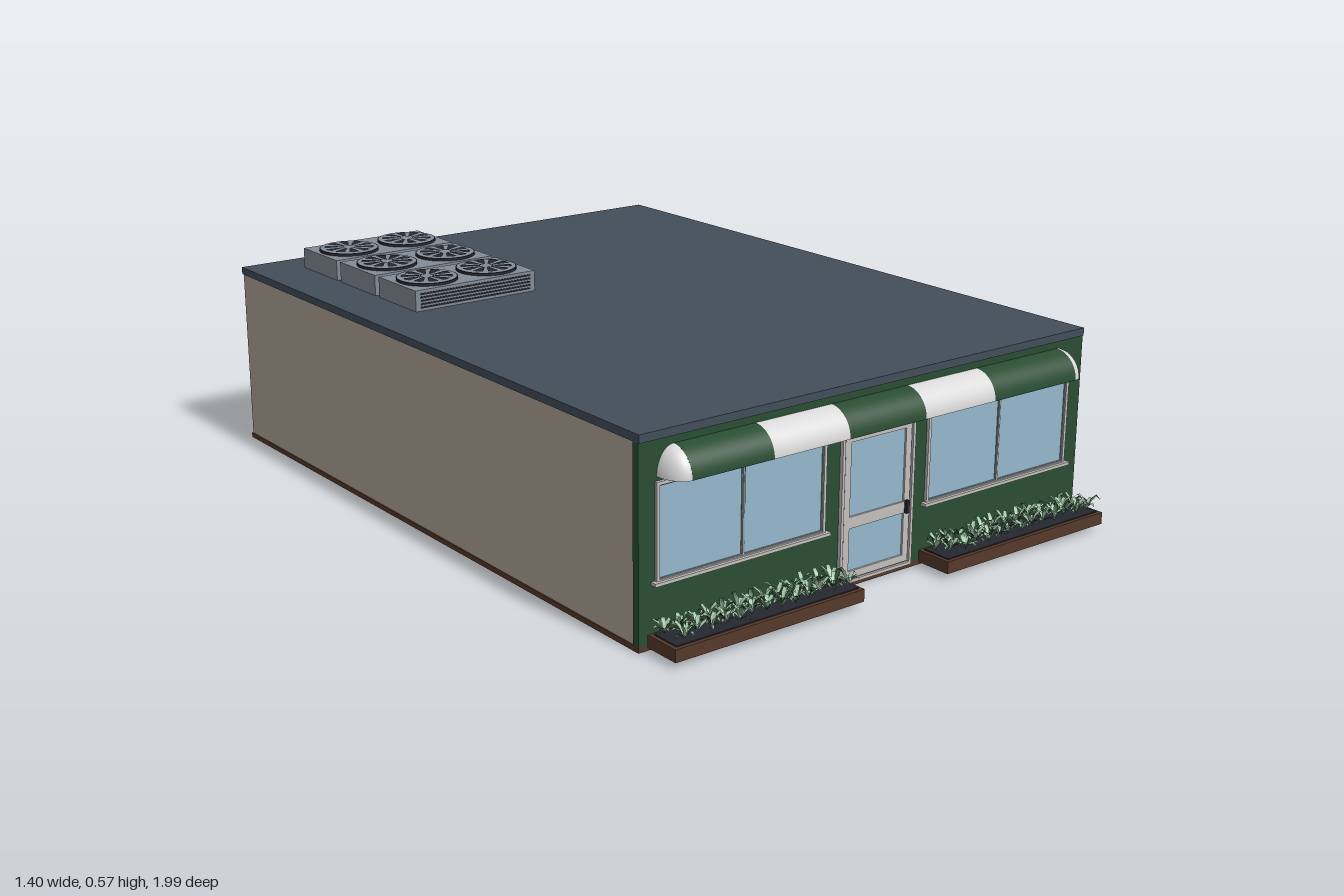
import * as THREE from 'three';
import { mergeGeometries } from 'three/addons/utils/BufferGeometryUtils.js';

const mat = (name, color, side = THREE.FrontSide) => {
  const m = new THREE.MeshStandardMaterial({ color, side });
  m.name = name;
  return m;
};

export function createModel() {
  const roofSlate = mat('roofSlate', 0x424e5a);
  const wallBeige = mat('wallBeige', 0xb0a599);
  const shopGreen = mat('shopGreen', 0x2a4d33, THREE.DoubleSide);
  const awningWhite = mat('awningWhite', 0xdadada, THREE.DoubleSide);
  const glassBlue = mat('glassBlue', 0x94b8cc);
  const frameGrey = mat('frameGrey', 0xc2bfbc);
  const metalGrey = mat('metalGrey', 0x818c97);
  const darkGrey = mat('darkGrey', 0x24272f);
  const woodBrown = mat('woodBrown', 0x56392a);
  const leafGreen = mat('leafGreen', 0x9cc3a1, THREE.DoubleSide);

  const root = new THREE.Group();
  root.name = 'shop';
  const group = (name, parent = root) => {
    const g = new THREE.Group();
    g.name = name;
    parent.add(g);
    return g;
  };
  const mesh = (parent, name, geo, material, x = 0, y = 0, z = 0) => {
    const m = new THREE.Mesh(geo, material);
    m.name = name;
    m.position.set(x, y, z);
    parent.add(m);
    return m;
  };
  // Box given by its minimum and maximum on each axis
  const box = (parent, name, material, [x0, x1], [y0, y1], [z0, z1]) =>
    mesh(parent, name, new THREE.BoxGeometry(x1 - x0, y1 - y0, z1 - z0), material,
      (x0 + x1) / 2, (y0 + y1) / 2, (z0 + z1) / 2);
  // Rectangular frame with an open middle
  const frame = (parent, name, material, [x0, x1], [y0, y1], w, z, depth) => {
    const rect = (P, i) => new P([[x0 + i, y0 + i], [x1 - i, y0 + i], [x1 - i, y1 - i], [x0 + i, y1 - i]]
      .map(([x, y]) => new THREE.Vector2(x, y)));
    const s = rect(THREE.Shape, 0);
    s.holes.push(rect(THREE.Path, w));
    mesh(parent, name, new THREE.ExtrudeGeometry(s, { depth, bevelEnabled: false }), material, 0, 0, z);
  };

  // Shell of the building
  const F = 0.865;
  box(root, 'base', woodBrown, [-0.7, 0.7], [0, 0.013], [-1, F]);
  box(root, 'walls', wallBeige, [-0.697, 0.697], [0.013, 0.485], [-0.997, 0.845]);
  box(root, 'facade', shopGreen, [-0.7, 0.7], [0.013, 0.485], [0.845, F]);
  box(root, 'roof', roofSlate, [-0.7, 0.7], [0.485, 0.505], [-1, F + 0.003]);

  // Shop windows
  for (const c of [-0.41, 0.405]) {
    const g = group('window');
    const x = [c - 0.245, c + 0.245], y = [0.155, 0.39];
    box(g, 'windowPane', glassBlue, x, y, [F, F + 0.002]);
    frame(g, 'windowFrame', frameGrey, x, y, 0.008, F, 0.008);
    frame(g, 'windowInnerEdge', metalGrey, [x[0] + 0.008, x[1] - 0.008], [0.163, 0.382], 0.003, F, 0.004);
    box(g, 'mullionEdge', metalGrey, [c - 0.005, c + 0.005], [0.163, 0.382], [F, F + 0.004]);
    box(g, 'mullion', frameGrey, [c - 0.002, c + 0.002], [0.163, 0.382], [F, F + 0.006]);
    box(g, 'windowSill', frameGrey, [x[0] - 0.01, x[1] + 0.01], [0.152, 0.16], [F, F + 0.016]);
  }

  // Glazed door
  const door = group('door');
  box(door, 'doorPane', glassBlue, [-0.115, 0.115], [0.015, 0.39], [F, F + 0.002]);
  frame(door, 'doorFrame', frameGrey, [-0.118, 0.115], [0.013, 0.393], 0.008, F, 0.01);
  frame(door, 'doorGap', metalGrey, [-0.11, 0.107], [0.021, 0.385], 0.003, F, 0.004);
  frame(door, 'doorLeaf', frameGrey, [-0.107, 0.104], [0.024, 0.382], 0.018, F, 0.007);
  box(door, 'doorRail', frameGrey, [-0.089, 0.086], [0.15, 0.179], [F, F + 0.007]);
  box(door, 'doorHandle', darkGrey, [0.088, 0.097], [0.15, 0.182], [F + 0.007, F + 0.016]);

  // Striped barrel awning with rounded ends
  const awning = group('awning');
  const R = 0.067, end = 0.605;
  const edges = [-end, -0.375, -0.15, 0.09, 0.32, end];
  for (let i = 0; i < 5; i++) {
    const len = edges[i + 1] - edges[i];
    const arc = new THREE.CylinderGeometry(R, R, len, 16, 1, true, 0, Math.PI / 2);
    // Axis along x, arc from the wall top round to the front edge
    arc.rotateZ(Math.PI / 2);
    mesh(awning, 'awningStripe', arc, i % 2 ? awningWhite : shopGreen,
      (edges[i] + edges[i + 1]) / 2, 0.4, F);
  }
  for (const s of [-1, 1]) {
    const cap = new THREE.SphereGeometry(R, 10, 10, s > 0 ? Math.PI / 2 : 0, Math.PI / 2, 0, Math.PI / 2);
    cap.scale(0.68, 1, 1);
    mesh(awning, 'awningEnd', cap, awningWhite, s * end, 0.4, F);
  }

  // Planters with arching leaves
  let seed = 7;
  const rnd = () => (seed = (seed * 16807) % 2147483647) / 2147483647;
  const leaf = (len, width, lift) => {
    const g = new THREE.PlaneGeometry(width, len, 2, 3).translate(0, len / 2, 0);
    const p = g.attributes.position;
    for (let i = 0; i < p.count; i++) {
      const t = p.getY(i) / len;
      const w = [0.15, 1, 0.8, 0][Math.round(t * 3)];
      const side = p.getX(i) * w;
      p.setXYZ(i, side, lift * Math.sin(t * 2.3) + Math.abs(side) * 0.4, t * len);
    }
    g.computeVertexNormals();
    return g;
  };
  for (const s of [-1, 1]) {
    const g = group('planter');
    const x0 = s < 0 ? -0.685 : 0.135, x1 = x0 + 0.55;
    box(g, 'planterBox', woodBrown, [x0, x1], [0.015, 0.046], [0.878, 0.978]);
    box(g, 'soil', darkGrey, [x0 + 0.01, x1 - 0.01], [0.046, 0.049], [0.888, 0.968]);
    const pale = [], deep = [];
    for (let i = 0; i < 26; i++) {
      const x = x0 + 0.025 + (i / 25) * 0.5;
      const z = 0.928 + (i % 2 ? 0.018 : -0.018) + (rnd() - 0.5) * 0.012;
      const turn = rnd() * 6.28;
      for (let k = 0; k < 9; k++) {
        const l = leaf(0.026 + rnd() * 0.014, 0.011, 0.012 + rnd() * 0.024);
        l.rotateY(turn + k * 0.7 + rnd() * 0.3).translate(x, 0.051 + rnd() * 0.006, z);
        (k % 3 === 2 ? deep : pale).push(l);
      }
    }
    mesh(g, 'paleLeaves', mergeGeometries(pale), leafGreen);
    mesh(g, 'deepLeaves', mergeGeometries(deep), shopGreen);
  }

  // Rooftop cooling units, each with two fans
  const blade = new THREE.Shape();
  blade.moveTo(0.02, -0.003);
  blade.lineTo(0.066, -0.011);
  blade.quadraticCurveTo(0.074, 0.002, 0.064, 0.017);
  blade.lineTo(0.02, 0.004);
  const blades = [];
  for (let k = 0; k < 10; k++) {
    blades.push(new THREE.ShapeGeometry(blade, 4).rotateX(-Math.PI / 2).rotateY(k * Math.PI / 5));
  }
  const bladeGeo = mergeGeometries(blades);
  const flatRing = (r0, r1) => new THREE.RingGeometry(r0, r1, 32).rotateX(-Math.PI / 2);
  for (const zc of [-0.795, -0.585, -0.375]) {
    const unit = group('coolingUnit');
    box(unit, 'unitCasing', metalGrey, [-0.56, -0.19], [0.505, 0.561], [zc - 0.095, zc + 0.095]);
    for (let i = 0; i < 5; i++) {
      const y = 0.512 + i * 0.009;
      box(unit, 'louvre', darkGrey, [-0.545, -0.205], [y, y + 0.0045], [zc + 0.094, zc + 0.097]);
    }
    for (const xc of [-0.468, -0.283]) {
      const fan = group('fan', unit);
      fan.position.set(xc, 0.561, zc);
      mesh(fan, 'fanRim', new THREE.CylinderGeometry(0.082, 0.082, 0.007, 32), darkGrey, 0, 0.0035, 0);
      mesh(fan, 'fanPlate', flatRing(0, 0.079), metalGrey, 0, 0.0078, 0);
      mesh(fan, 'fanBlades', bladeGeo, darkGrey, 0, 0.0088, 0);
      mesh(fan, 'fanHubEdge', flatRing(0.016, 0.019), darkGrey, 0, 0.0088, 0);
    }
  }
  return root;
}
